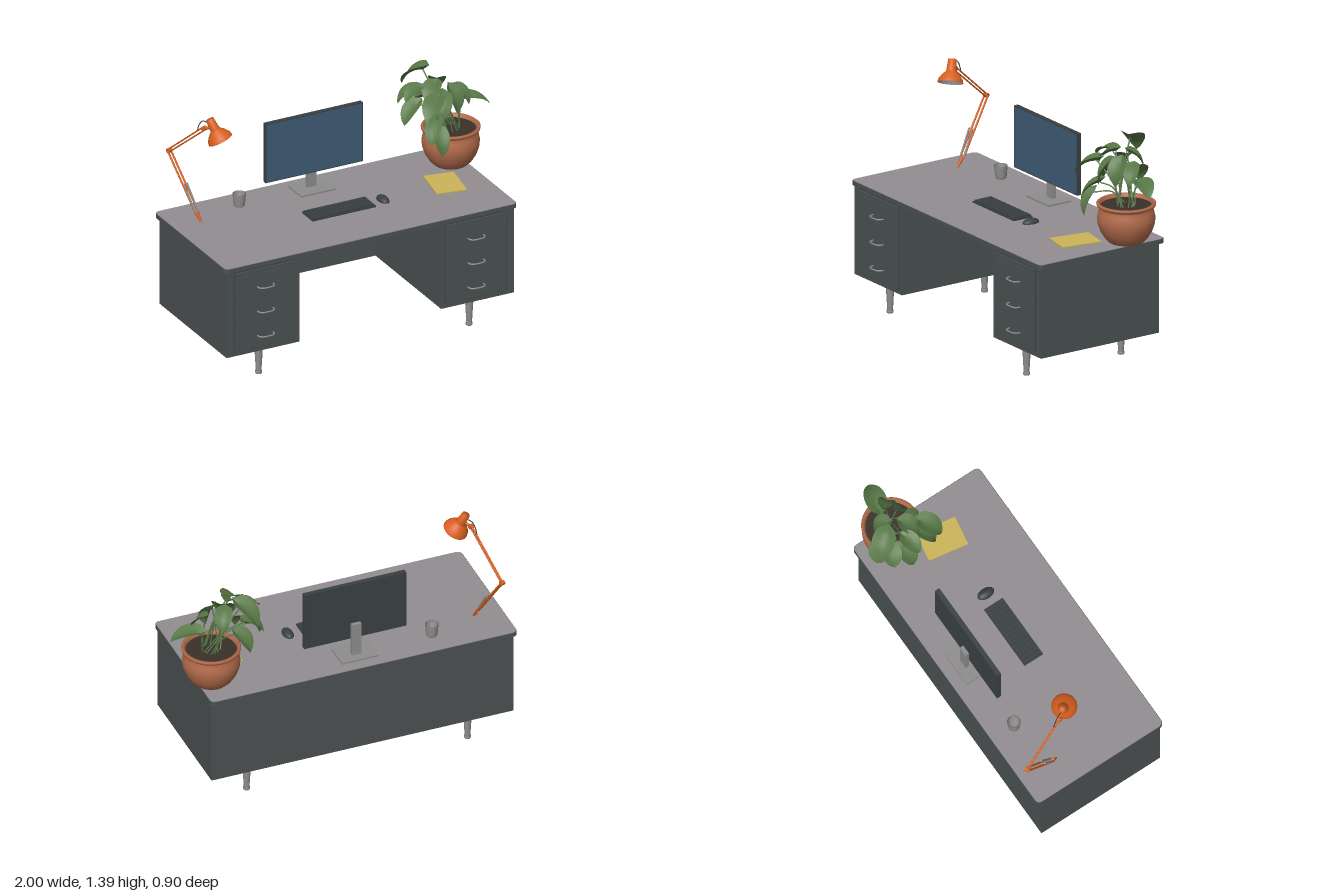
import * as THREE from 'three';
import { RoundedBoxGeometry } from 'three/addons/geometries/RoundedBoxGeometry.js';

const V = (x, y, z) => new THREE.Vector3(x, y, z);
function mat(name, color, double = false) {
  const m = new THREE.MeshStandardMaterial({ color });
  m.name = name;
  if (double) m.side = THREE.DoubleSide;
  return m;
}
const M = {
  desk: mat('charcoal steel', 0x4b5152),
  dark: mat('dark plastic', 0x3a4143),
  top: mat('grey laminate', 0x918d90),
  metal: mat('grey metal', 0x8e8d8e, true),
  screen: mat('blue screen', 0x3f5b74),
  orange: mat('orange enamel', 0xd9601f, true),
  clay: mat('terracotta', 0xb26b4b, true),
  leaf: mat('leaf green', 0x587847, true),
  soil: mat('soil', 0x3a302a),
  paper: mat('yellow paper', 0xcbb458),
};

function add(parent, name, geo, material, x = 0, y = 0, z = 0) {
  const m = new THREE.Mesh(geo, material);
  m.name = name;
  m.position.set(x, y, z);
  parent.add(m);
  return m;
}
// box given by its min and max on each axis
function box(parent, name, material, x0, x1, y0, y1, z0, z1) {
  return add(parent, name, new THREE.BoxGeometry(x1 - x0, y1 - y0, z1 - z0), material,
    (x0 + x1) / 2, (y0 + y1) / 2, (z0 + z1) / 2);
}
// straight round bar between two points
function rod(parent, name, material, a, b, r0, r1 = r0) {
  const d = b.clone().sub(a);
  const m = add(parent, name, new THREE.CylinderGeometry(r1, r0, d.length(), 10), material);
  m.position.copy(a).add(b).multiplyScalar(0.5);
  m.quaternion.setFromUnitVectors(V(0, 1, 0), d.normalize());
  return m;
}
function tube(parent, name, material, pts, r, seg = 12) {
  return add(parent, name, new THREE.TubeGeometry(new THREE.CatmullRomCurve3(pts), seg, r, 6), material);
}
const lathe = (pts, seg = 32) => new THREE.LatheGeometry(pts.map(p => new THREE.Vector2(...p)), seg);

// horizontal slab with rounded corners
function slab(x0, x1, z0, z1, r, h) {
  const s = new THREE.Shape();
  s.absarc(x1 - r, z1 - r, r, 0, Math.PI / 2);
  s.absarc(x0 + r, z1 - r, r, Math.PI / 2, Math.PI);
  s.absarc(x0 + r, z0 + r, r, Math.PI, Math.PI * 1.5);
  s.absarc(x1 - r, z0 + r, r, Math.PI * 1.5, Math.PI * 2);
  const g = new THREE.ExtrudeGeometry(s, { depth: h, bevelEnabled: false, curveSegments: 6 });
  return g.rotateX(-Math.PI / 2);
}

function buildDesk(root) {
  const g = new THREE.Group();
  g.name = 'desk';
  root.add(g);
  // shape y maps to -z
  add(g, 'topEdge', slab(-1, 0.84, -0.42, 0.43, 0.03, 0.025), M.desk, 0, 0.7, 0);
  add(g, 'topSurface', slab(-0.997, 0.837, -0.417, 0.427, 0.028, 0.003), M.top, 0, 0.725, 0);
  box(g, 'backPanel', M.desk, -0.53, 0.37, 0.175, 0.7, -0.395, -0.375);
  for (const [x0, x1, cx] of [[-0.985, -0.525, -0.745], [0.365, 0.825, 0.58]]) {
    box(g, 'pedestal', M.desk, x0, x1, 0.175, 0.7, -0.395, 0.403);
    const a = cx - 0.19, b = cx + 0.19;
    // recessed gap behind the three drawer fronts
    box(g, 'drawerGap', M.dark, a - 0.004, b + 0.004, 0.2, 0.69, 0.4, 0.4045);
    [[0.205, 0.354], [0.36, 0.506], [0.512, 0.655]].forEach(([y0, y1], i) => {
      box(g, 'drawerFront', M.desk, a, b, y0, y1, 0.4, 0.41);
      const y = 0.275 + i * 0.15;
      tube(g, 'drawerHandle', M.metal, [V(cx - 0.05, y, 0.408), V(cx - 0.046, y, 0.43),
        V(cx - 0.03, y, 0.443), V(cx + 0.03, y, 0.443), V(cx + 0.046, y, 0.43), V(cx + 0.05, y, 0.408)], 0.005, 20);
    });
    box(g, 'writingSlide', M.desk, a, b, 0.662, 0.685, 0.4, 0.414);
    // tapered legs with mounting plates
    for (const z of [0.33, -0.31]) {
      add(g, 'leg', lathe([[0, 0], [0.017, 0], [0.02, 0.004], [0.02, 0.014], [0.016, 0.018],
        [0.024, 0.155], [0.024, 0.175]], 20), M.metal, cx, 0, z);
      box(g, 'legPlate', M.desk, cx - 0.045, cx + 0.045, 0.167, 0.177, z - 0.045, z + 0.045);
    }
  }
}

function buildDeskItems(root) {
  const y = 0.728;
  const mon = new THREE.Group();
  mon.name = 'monitor';
  root.add(mon);
  box(mon, 'monitorBody', M.dark, -0.387, 0.225, 0.838, 1.2, -0.287, -0.26);
  box(mon, 'monitorScreen', M.screen, -0.381, 0.219, 0.844, 1.194, -0.262, -0.258);
  box(mon, 'monitorColumn', M.metal, -0.11, -0.053, y, 0.94, -0.31, -0.287);
  box(mon, 'monitorBase', M.metal, -0.192, 0.028, y, 0.738, -0.36, -0.205);

  // keyboard with rows of keys
  const kb = new THREE.Group();
  kb.name = 'keyboard';
  root.add(kb);
  box(kb, 'keyboardBody', M.dark, -0.28, 0.12, y, 0.736, -0.03, 0.095);
  for (let r = 0; r < 5; r++) for (let c = 0; c < 15; c++) {
    if (r === 4 && c > 4 && c < 9) continue;
    const x = -0.274 + c * 0.0259, z = -0.025 + r * 0.0232;
    box(kb, 'key', M.dark, x, x + 0.0225, 0.736, 0.744, z, z + 0.0198);
  }
  box(kb, 'spaceBar', M.dark, -0.1445, -0.0395, 0.736, 0.744, 0.0678, 0.0876);

  add(root, 'mouse', new THREE.SphereGeometry(1, 24, 8, 0, Math.PI * 2, 0, Math.PI / 2), M.dark, 0.195, y, 0.032)
    .scale.set(0.031, 0.027, 0.053);
  add(root, 'cup', lathe([[0, 0], [0.028, 0], [0.032, 0.006], [0.038, 0.075], [0.034, 0.075],
    [0.029, 0.008], [0, 0.008]]), M.metal, -0.543, y, -0.28);
  add(root, 'notepad', new RoundedBoxGeometry(0.178, 0.009, 0.24, 1, 0.001), M.paper, 0.598, 0.7325, 0.012)
    .rotation.y = -0.17;
}

function buildLamp(root) {
  const g = new THREE.Group();
  g.name = 'deskLamp';
  root.add(g);
  const foot = V(-0.83, 0.728, -0.19), elbow = V(-0.903, 1.085, -0.432), head = V(-0.825, 1.315, -0.165);
  const side = V(0.011, 0, -0.004);
  const low = foot.clone().lerp(elbow, 0.13);
  rod(g, 'lampPin', M.orange, foot, low, 0.005, 0.012);
  // twin rods for each arm, with joints and springs
  for (const s of [-1, 1]) {
    const o = side.clone().multiplyScalar(s);
    rod(g, 'lowerArm', M.orange, low.clone().add(o), elbow.clone().add(o), 0.0055);
    rod(g, 'upperArm', M.orange, elbow.clone().add(V(0, 0.01 * s, 0)), head.clone().add(V(0, 0.012 * s, 0)), 0.0045);
    rod(g, 'spring', M.metal, low.clone().add(o), low.clone().lerp(elbow, 0.45).add(o).add(V(0, 0.012, 0.012)), 0.005);
  }
  rod(g, 'elbowJoint', M.orange, elbow.clone().sub(side), elbow.clone().add(side), 0.014);
  rod(g, 'headJoint', M.orange, head.clone().sub(side), head.clone().add(side), 0.014);
  // shade pointing down, forward and inward
  const apex = V(-0.807, 1.382, -0.135), mouth = V(-0.762, 1.262, -0.09);
  const shade = new THREE.Group();
  shade.name = 'lampShade';
  shade.position.copy(mouth);
  shade.quaternion.setFromUnitVectors(V(0, 1, 0), apex.clone().sub(mouth).normalize());
  g.add(shade);
  add(shade, 'shadeOuter', lathe([[0.073, 0], [0.068, 0.02], [0.05, 0.045], [0.032, 0.062],
    [0.028, 0.07], [0.023, 0.134], [0, 0.136]]), M.orange);
  add(shade, 'shadeInner', lathe([[0.071, 0.0005], [0.065, 0.019], [0.047, 0.043], [0.03, 0.058], [0, 0.06]]), M.metal);
  add(shade, 'bulb', new THREE.SphereGeometry(0.022, 16, 12), M.metal, 0, 0.035, 0);
  rod(g, 'headBracket', M.orange, head, apex.clone().lerp(mouth, 0.4), 0.008);
  tube(g, 'lampCable', M.dark, [apex.clone().add(V(0, -0.03, 0)), V(-0.825, 1.355, -0.18), V(-0.835, 1.33, -0.2), V(-0.84, 1.29, -0.215)], 0.003);
}

// heart-shaped leaf, folded along the midrib and arched from base to tip
function leafGeometry(base, tip, w) {
  const d = tip.clone().sub(base), len = d.length();
  d.normalize();
  const side = d.clone().cross(V(0, 1, 0)).normalize(), up = side.clone().cross(d);
  const geo = new THREE.PlaneGeometry(2, 1, 4, 9), p = geo.attributes.position;
  for (let i = 0; i < p.count; i++) {
    const u = p.getX(i), t = p.getY(i) + 0.5;
    const half = w * 1.15 * Math.pow(t, 0.45) * Math.pow(1 - t, 0.8);
    const along = len * (t - 0.3 * Math.abs(u) * (1 - t) * (1 - t));
    const lift = 0.35 * half * Math.abs(u) + 0.6 * len * t * (1 - t);
    const q = base.clone().addScaledVector(d, along).addScaledVector(side, u * half).addScaledVector(up, lift);
    p.setXYZ(i, q.x, q.y, q.z);
  }
  geo.computeVertexNormals();
  return geo;
}

function buildPlant(root) {
  const g = new THREE.Group();
  g.name = 'pottedPlant';
  root.add(g);
  const cx = 0.757, cz = -0.222;
  add(g, 'pot', lathe([[0, 0.728], [0.098, 0.728], [0.12, 0.75], [0.145, 0.79], [0.16, 0.835], [0.163, 0.87],
    [0.156, 0.905], [0.148, 0.925], [0.152, 0.935], [0.165, 0.94], [0.167, 0.952], [0.16, 0.958],
    [0.147, 0.955], [0.14, 0.92]], 40), M.clay, cx, 0, cz);
  add(g, 'soil', new THREE.CylinderGeometry(0.144, 0.144, 0.01, 32), M.soil, cx, 0.932, cz);
  // each leaf: base, tip, width
  const leaves = [
    [0.84, 1.08, -0.25, 1.0, 1.04, -0.21, 0.12], [0.64, 1.28, -0.33, 0.56, 1.17, -0.43, 0.13],
    [0.58, 1.21, -0.25, 0.47, 1.16, -0.22, 0.1], [0.62, 1.18, -0.12, 0.52, 1.09, -0.04, 0.12],
    [0.62, 1.05, -0.14, 0.55, 0.94, -0.06, 0.1], [0.58, 1.1, -0.28, 0.48, 1.0, -0.25, 0.11],
    [0.68, 1.17, -0.18, 0.64, 1.04, -0.12, 0.13], [0.74, 1.19, -0.2, 0.76, 1.06, -0.15, 0.11],
    [0.8, 1.17, -0.24, 0.85, 1.08, -0.18, 0.09], [0.7, 1.22, -0.28, 0.74, 1.13, -0.35, 0.1],
    [0.66, 1.1, -0.35, 0.6, 1.0, -0.42, 0.12], [0.66, 1.23, -0.22, 0.58, 1.15, -0.16, 0.11],
    [0.62, 1.0, -0.1, 0.61, 0.87, -0.04, 0.09], [0.6, 1.16, -0.34, 0.5, 1.08, -0.37, 0.11],
  ];
  leaves.forEach(([bx, by, bz, tx, ty, tz, w], i) => {
    const base = V(bx, by, bz);
    add(g, 'leaf', leafGeometry(base, V(tx, ty, tz), w), M.leaf);
    const root0 = V(cx + 0.05 * Math.cos(i * 2.4), 0.932, cz + 0.05 * Math.sin(i * 2.4));
    const mid = root0.clone().lerp(base, 0.45).add(V(0, 0.04, 0));
    tube(g, 'stem', M.leaf, [root0, mid, base], 0.004);
  });
}

export function createModel() {
  const root = new THREE.Group();
  root.name = 'deskWithItems';
  buildDesk(root);
  buildDeskItems(root);
  buildLamp(root);
  buildPlant(root);
  return root;
}
